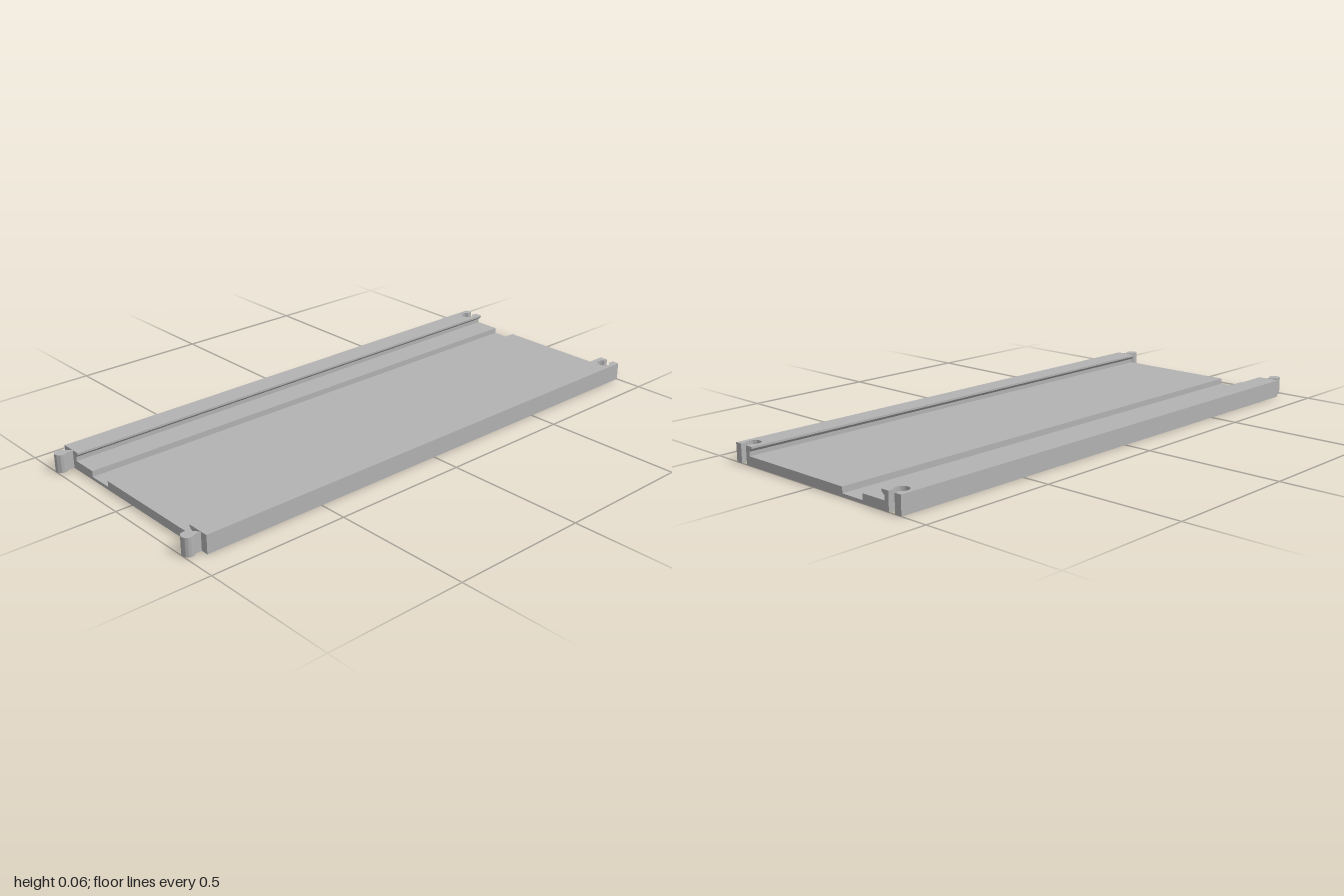
import * as THREE from 'three';
import { toCreasedNormals } from 'three/addons/utils/BufferGeometryUtils.js';

const X0 = -0.94, X1 = 1;        // ends of the plate
const H = 0.065;                 // rail height
const INNER = 0.327, OUTER = 0.398;
const JOINT_Z = 0.358;           // centre line of knobs and sockets

export function createModel() {
  const group = new THREE.Group();
  const grey = new THREE.MeshStandardMaterial({ color: 0xb3b3b3 });
  grey.name = 'grey';

  const add = (name, geometry) => {
    const mesh = new THREE.Mesh(toCreasedNormals(geometry, 0.6), grey);
    mesh.name = name;
    group.add(mesh);
  };
  // Cross-section of [z, y] points swept along x
  const sweep = (points) => {
    const shape = new THREE.Shape(points.map(([z, y]) => new THREE.Vector2(-z, y)));
    return new THREE.ExtrudeGeometry(shape, { depth: X1 - X0, bevelEnabled: false })
      .rotateY(Math.PI / 2).translate(X0, 0, 0);
  };
  // Plan outline in x and -z, raised to the rail height
  const raise = (shape) =>
    new THREE.ExtrudeGeometry(shape, { depth: H, bevelEnabled: false, curveSegments: 32 })
      .rotateX(-Math.PI / 2);

  // Floor with a channel near the back
  add('floor', sweep([
    [-INNER, 0], [INNER, 0], [INNER, 0.032], [-0.137, 0.032],
    [-0.137, 0.011], [-0.23, 0.011], [-0.23, 0.032], [-INNER, 0.032],
  ]));

  for (const side of [1, -1]) {
    const label = side > 0 ? 'front' : 'back';
    const c = -side * JOINT_Z;
    const lo = Math.min(-side * INNER, -side * OUTER);
    const hi = Math.max(-side * INNER, -side * OUTER);

    // Rail with a round, open socket in its +x end
    const socketX = 0.961, socketR = 0.0245, slot = 0.0133;
    const a = Math.asin(slot / socketR);
    const rail = new THREE.Shape();
    rail.moveTo(X0, lo);
    rail.lineTo(X1, lo);
    rail.lineTo(X1, c - slot);
    rail.absarc(socketX, c, socketR, -a, a, true);
    rail.lineTo(X1, c + slot);
    rail.lineTo(X1, hi);
    rail.lineTo(X0, hi);
    rail.closePath();
    add(label + 'Rail', raise(rail));

    // Overhanging lip on the inside of the rail
    add(label + 'Lip', sweep([
      [INNER, H], [0.315, H], [0.315, 0.058], [INNER, 0.047],
    ].map(([z, y]) => [side * z, y])));

    // Connector knob on a narrow neck at the -x end
    const knobX = -0.979, knobR = 0.021, neck = 0.0125;
    const k = Math.asin(neck / knobR);
    const knob = new THREE.Shape();
    knob.moveTo(X0, c + neck);
    knob.absarc(knobX, c, knobR, k, Math.PI * 2 - k, false);
    knob.lineTo(X0, c - neck);
    knob.closePath();
    add(label + 'Knob', raise(knob));
  }
  return group;
}
